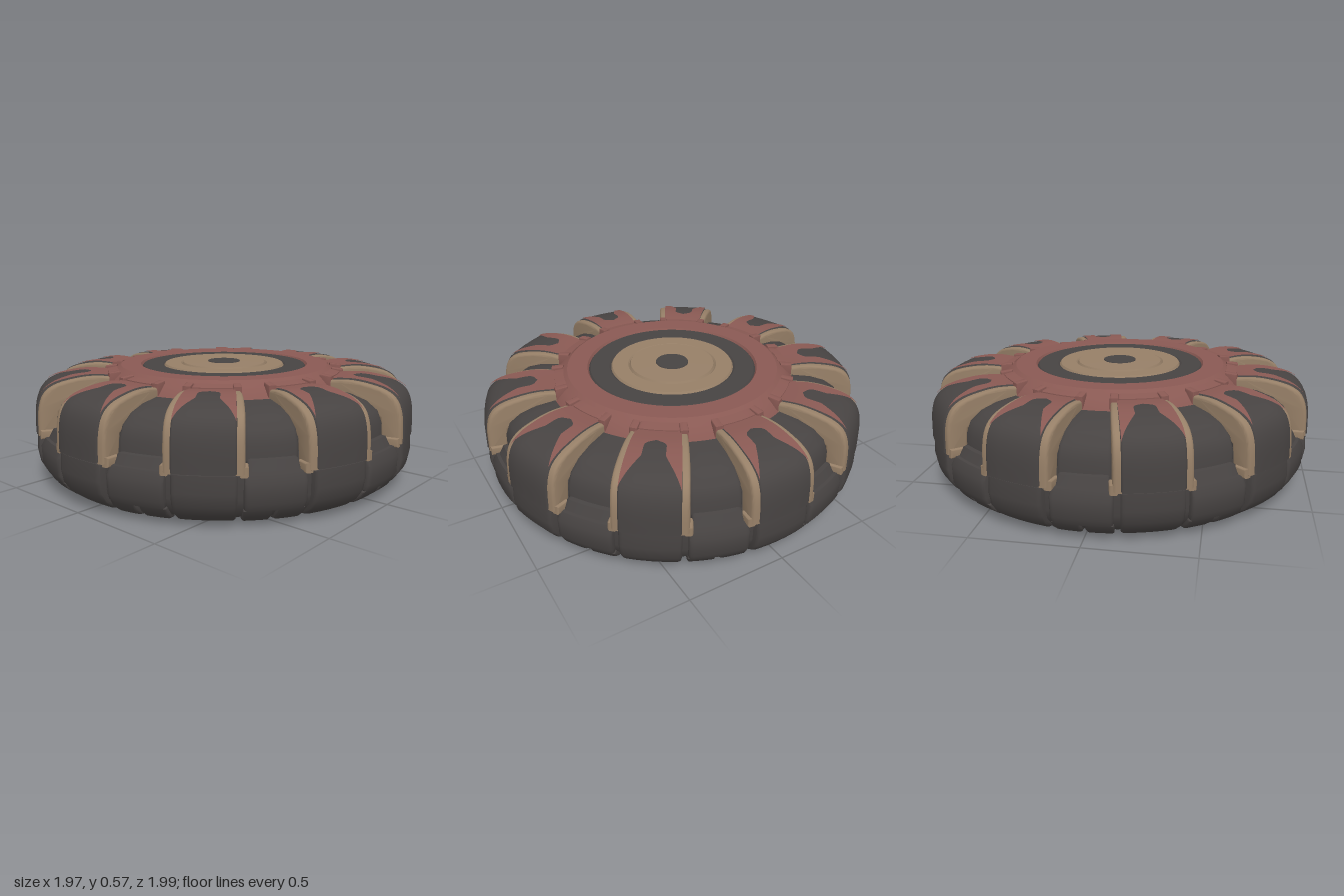
import * as THREE from 'three';
import { toCreasedNormals } from 'three/addons/utils/BufferGeometryUtils.js';

const mat = (name, color) => Object.assign(new THREE.MeshStandardMaterial({ color }), { name });
const COUNT = 10;
const H = 0.575;
const v2 = (list) => list.map(([r, y]) => new THREE.Vector2(r, y));

// Bend (radius, height, u) around the axis; the half angle tapers along the radius
function place(pos, i, r, y, u, halfIn, halfOut) {
  const k = THREE.MathUtils.clamp((r - 0.6) / 0.4, 0, 1);
  const a = -u * THREE.MathUtils.lerp(halfIn, halfOut, k);
  pos.setXYZ(i, r * Math.sin(a), y, r * Math.cos(a));
}

// Bevelled block with a radial profile, swept from u0 to u1 around the axis
function block(profile, u0, u1, halfIn, halfOut = halfIn, bevel = 0.012, t = 0.08) {
  const geo = new THREE.ExtrudeGeometry(new THREE.Shape(profile), {
    depth: 1 - 2 * t, steps: 4, bevelEnabled: true, bevelThickness: t,
    bevelSize: bevel, bevelOffset: -bevel, bevelSegments: 3,
  });
  const pos = geo.attributes.position;
  for (let i = 0; i < pos.count; i++) {
    const u = u0 + (pos.getZ(i) + t) * (u1 - u0);
    place(pos, i, pos.getX(i), pos.getY(i), u, halfIn, halfOut);
  }
  return toCreasedNormals(geo, 0.7);
}

// Thin painted face following a curve; lo and hi give its u limits at each radius
function patch(curve, sEnd, lo, hi, halfIn, halfOut) {
  const geo = new THREE.PlaneGeometry(1, 1, 4, 60);
  const pos = geo.attributes.position;
  for (let i = 0; i < pos.count; i++) {
    const s = (pos.getY(i) + 0.5) * sEnd;
    const p = curve.getPoint(s), d = curve.getTangent(s);
    const u = THREE.MathUtils.lerp(lo(p.x), hi(p.x), pos.getX(i) + 0.5);
    place(pos, i, p.x - d.y * 0.005, p.y + d.x * 0.005, u, halfIn, halfOut);
  }
  geo.computeVertexNormals();
  return geo;
}

// Inner edge of the painted fork: rounded root, straight sides, then flaring to the rails
function forkEdge(r) {
  if (r < 0.71) return 0;
  if (r < 0.75) return 0.36 * Math.sqrt(1 - ((0.75 - r) / 0.04) ** 2);
  return Math.min(0.84, 0.36 + Math.max(0, r - 0.81) * 3.2);
}

export function createModel() {
  const dark = mat('charcoal', 0x474342);
  const red = mat('dull red', 0x895953);
  const tan = mat('tan', 0x967f67);
  const model = new THREE.Group();
  model.name = 'wheel';

  const add = (parent, name, geo, material) => {
    const mesh = new THREE.Mesh(geo, material);
    mesh.name = name;
    parent.add(mesh);
  };
  const lathe = (name, material, pts) =>
    add(model, name, toCreasedNormals(new THREE.LatheGeometry(v2(pts), 80), 0.5), material);
  const flip = (pts) => pts.map(([r, y]) => [r, H - y]).reverse();

  // Tyre carcass
  lathe('tyreBody', dark, [[0.6, 0.02], [0.62, 0.014], [0.82, 0.014], [0.89, 0.035], [0.935, 0.08],
    [0.95, 0.13], [0.95, 0.235], [0.93, 0.255], [0.88, 0.265], [0.87, 0.33], [0.84, 0.39],
    [0.76, 0.44], [0.6, 0.47]]);

  // Rim faces, top and bottom
  lathe('rimTop', red, [[0.66, 0.43], [0.635, 0.49], [0.59, 0.535], [0.55, 0.565], [0.445, 0.565], [0.437, 0.552]]);
  lathe('rimBottom', red, [[0.437, 0.02], [0.445, 0.008], [0.6, 0.008], [0.612, 0.025]]);
  const discs = [
    ['ring', dark, [[0.438, 0.55], [0.43, 0.56], [0.33, 0.56], [0.32, 0.554]]],
    ['disc', tan, [[0.322, 0.553], [0.314, 0.565], [0.232, 0.565], [0.225, 0.558], [0.218, 0.57], [0.085, 0.571]]],
    ['hub', dark, [[0.087, 0.567], [0.084, 0.575], [0, 0.575]]],
  ];
  for (const [name, material, pts] of discs) {
    lathe(name + 'Top', material, pts);
    lathe(name + 'Bottom', material, flip(pts));
  }

  // Rib: dark core, rounded tan side rails, red painted fork
  const outer = new THREE.SplineCurve(v2([[0.6, 0.53], [0.72, 0.54], [0.82, 0.53], [0.91, 0.505],
    [0.965, 0.46], [0.991, 0.38], [0.997, 0.255]]));
  const arc = outer.getPoints(24);
  const IN = 0.2, OUT = 0.162;
  const rib = new THREE.Group();
  rib.name = 'rib';
  add(rib, 'ribCore', block([...arc, ...v2([[0.84, 0.25], [0.8, 0.4], [0.6, 0.43]])], -0.86, 0.86, IN, OUT, 0.01, 0.04), dark);
  const railProfile = [...arc.map((p) => new THREE.Vector2(p.x - 0.006, p.y - 0.003)),
    ...v2([[0.9, 0.25], [0.885, 0.37], [0.82, 0.42], [0.6, 0.43]])];
  const foot = v2([[0.92, 0.24], [0.985, 0.24], [0.985, 0.285], [0.92, 0.285]]);
  const lug = v2([[0.575, 0.48], [0.635, 0.48], [0.635, 0.549], [0.575, 0.556]]);
  for (const side of [-1, 1]) {
    // Block spanning u from a to b on this side of the rib
    const sided = (pts, a, b, ...rest) => block(pts, Math.min(side * a, side * b), Math.max(side * a, side * b), IN, OUT, ...rest);
    add(rib, 'ribRail', sided(railProfile, 0.76, 1.07, 0.014, 0.3), tan);
    add(rib, 'ribFoot', sided(foot, 0.92, 1.16, 0.008, 0.2), tan);
    add(rib, 'ribLug', sided(lug, 0.78, 1.1, 0.008), red);
    const lo = side < 0 ? () => -0.84 : forkEdge;
    const hi = side < 0 ? (r) => -forkEdge(r) : () => 0.84;
    add(rib, 'ribPaint', patch(outer, 0.72, lo, hi, IN, OUT), red);
  }
  add(rib, 'ribClamp', block(v2([[0.57, 0.47], [0.62, 0.47], [0.62, 0.542], [0.57, 0.552]]), -0.8, 0.8, IN, IN, 0.006), red);

  // Tread block under each rib
  add(rib, 'treadBlock', block(v2([[0.85, 0.008], [0.9, 0.022], [0.95, 0.06], [0.984, 0.11], [0.995, 0.17],
    [0.99, 0.25], [0.9, 0.262]]), -1, 1, 0.142), dark);
  add(rib, 'lowerSidewallBlock', block(v2([[0.64, 0.03], [0.65, 0.006], [0.83, 0.006], [0.84, 0.03]]), -1, 1, 0.17, 0.15, 0.005), dark);

  // Shoulder and tread between two ribs
  const gap = new THREE.Group();
  gap.name = 'gapSection';
  add(gap, 'shoulderBlock', block(v2([[0.63, 0.42], [0.64, 0.49], [0.74, 0.478], [0.82, 0.452], [0.878, 0.41],
    [0.902, 0.35], [0.905, 0.26], [0.8, 0.26]]), -1, 1, 0.125, 0.138, 0.015), dark);
  add(gap, 'shoulderPad', block(v2([[0.88, 0.25], [0.88, 0.3], [0.925, 0.295], [0.95, 0.25]]), -1, 1, 0.125), dark);
  add(gap, 'gapTread', block(v2([[0.9, 0.085], [0.965, 0.085], [0.984, 0.12], [0.986, 0.21], [0.965, 0.25], [0.9, 0.255]]),
    -1, 1, 0.142), dark);
  for (const c of [-0.078, 0.078]) {
    const h = 0.066;
    const lower = v2([[0.84, 0.03], [0.85, 0.008], [0.9, 0.02], [0.945, 0.055], [0.962, 0.085], [0.9, 0.095]]);
    add(gap, 'lowerTread', block(lower, c - h, c + h, 1, 1, 0.008), dark);
    const wall = v2([[0.65, 0.03], [0.66, 0.006], [0.82, 0.006], [0.83, 0.03]]);
    add(gap, 'lowerWall', block(wall, c - h, c + h, 1, 1, 0.005), dark);
  }

  for (let i = 0; i < COUNT; i++) {
    const step = (Math.PI * 2) / COUNT;
    const r = rib.clone(), g = gap.clone();
    r.rotation.y = i * step;
    g.rotation.y = (i + 0.5) * step;
    model.add(r, g);
  }
  return model;
}
